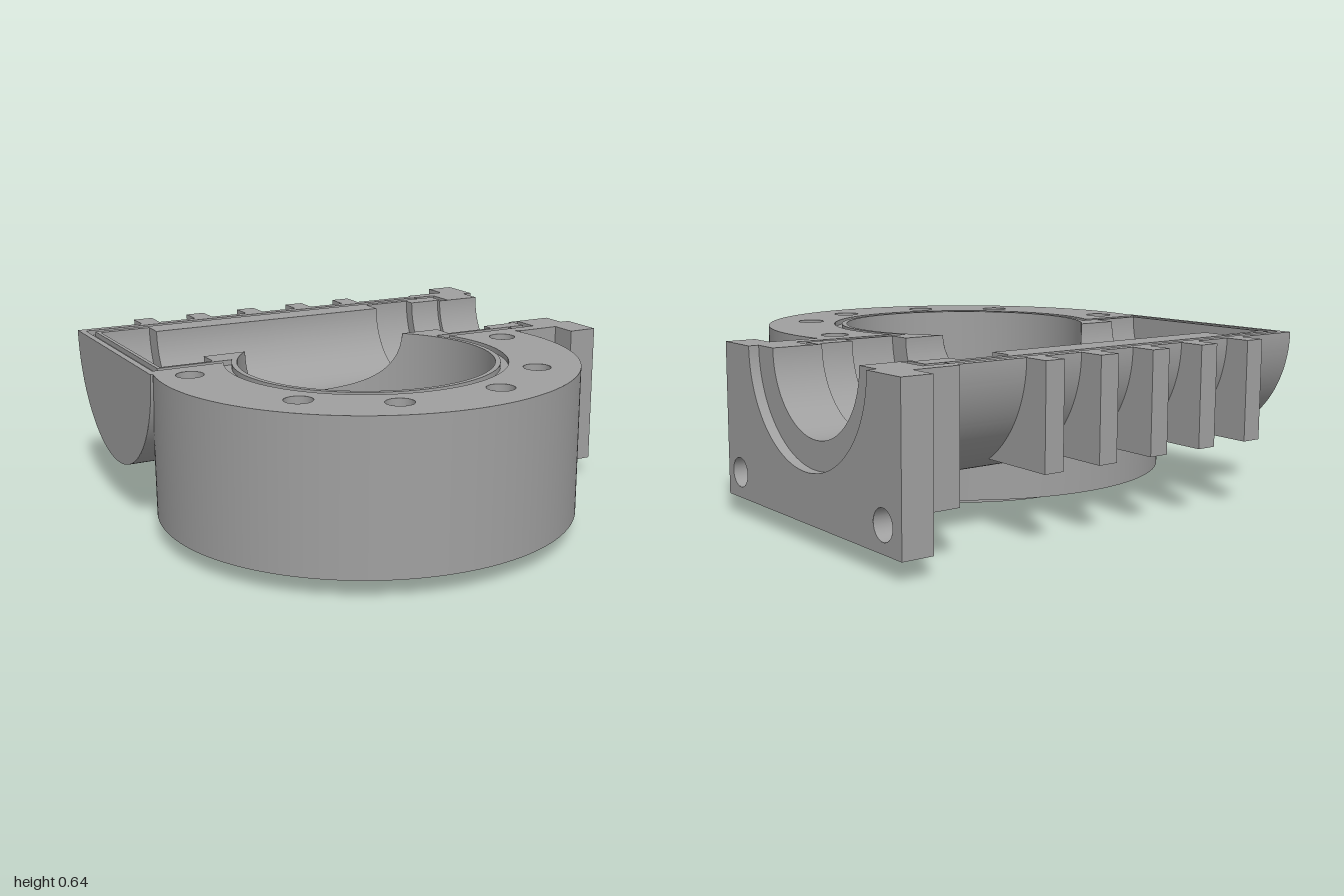
import * as THREE from 'three';
import { toCreasedNormals } from 'three/addons/utils/BufferGeometryUtils.js';

const TOP = 0.64, BASE = 0.07, FLOOR = 0.25; // split plane, underside, wheel chamber floor
const WZ = -0.42, WORM_R = 0.45;             // worm axis (along x, at the split plane)
const CX = -0.155, CZ = 0.185;               // wheel axis (vertical)
const WHEEL_R = 0.81, CAVITY_R = 0.49;

export function createModel() {
  const group = new THREE.Group();
  const castMetal = new THREE.MeshStandardMaterial({ color: 0xa0a0a0, side: THREE.DoubleSide });
  castMetal.name = 'cast metal';

  const V = (x, y, z) => new THREE.Vector3(x, y, z);
  const range = (n, f) => Array.from({ length: n + 1 }, (_, i) => f(i / n));
  const add = (name, geometry) => {
    const mesh = new THREE.Mesh(geometry, castMetal);
    mesh.name = name;
    group.add(mesh);
    return mesh;
  };

  // Ruled surface between two rows of points
  const strip = (name, a, b) => {
    const index = [];
    for (let i = 0; i < a.length - 1; i++) {
      const j = i + a.length;
      index.push(i, j, i + 1, i + 1, j, j + 1);
    }
    const geo = new THREE.BufferGeometry().setFromPoints([...a, ...b]);
    geo.setIndex(index);
    return add(name, toCreasedNormals(geo, 0.5));
  };

  const toShape = (pts, holes = []) => {
    const shape = new THREE.Shape(pts.map(([u, v]) => new THREE.Vector2(-u, v)));
    for (const [u, v, r] of holes) shape.holes.push(new THREE.Path().absarc(-u, v, r, 0, Math.PI * 2, true));
    return shape;
  };
  // Flat face across x, outlined by [z, y]
  const faceX = (name, x, pts, holes) => {
    const geo = new THREE.ShapeGeometry(toShape(pts, holes), 24);
    add(name, geo.rotateY(Math.PI / 2).translate(x, 0, 0));
  };
  // Flat face at height y, outlined by [x, z]
  const faceY = (name, y, pts, holes = []) => {
    const shape = new THREE.Shape(pts.map(([x, z]) => new THREE.Vector2(x, -z)));
    for (const [x, z, r] of holes) shape.holes.push(new THREE.Path().absarc(x, -z, r, 0, Math.PI * 2, true));
    add(name, new THREE.ShapeGeometry(shape, 24).rotateX(-Math.PI / 2).translate(0, y, 0));
  };
  // Lower half circle about the worm axis, as [z, y], from front to back
  const halfArc = (r, n = 64) => range(n, t => [WZ + r * Math.cos(Math.PI * t), TOP - r * Math.sin(Math.PI * t)]);
  // Arc about the wheel axis running around the front, between the two points at depth z
  const frontArc = (r, z) => {
    const a = Math.asin((z - CZ) / r);
    return range(96, t => {
      const p = a + (Math.PI - 2 * a) * t;
      return [CX + r * Math.cos(p), CZ + r * Math.sin(p)];
    });
  };
  const halfWidth = (r, z) => Math.sqrt(Math.max(0, r * r - (z - CZ) ** 2));
  const pipeY = (r, z) => TOP - Math.sqrt(Math.max(0, r * r - (z - WZ) ** 2));

  // Half pipe along x, cut away inside a vertical cylinder of radius cut
  const halfPipe = (name, r, x0, x1, cut = 0) => {
    const arc = halfArc(r, cut ? 160 : 64);
    const at = f => arc.map(([z, y]) => V(f(z), y, z));
    if (!cut) return strip(name, at(() => x0), at(() => x1));
    strip(name + 'Left', at(() => x0), at(z => CX - halfWidth(cut, z)));
    strip(name + 'Right', at(z => CX + halfWidth(cut, z)), at(() => x1));
  };

  // Vertical wall around the wheel axis with a top edge that follows the worm
  const wheelWall = (name, r, bottom, topAt) => {
    const ring = range(240, t => [CX + r * Math.cos(2 * Math.PI * t), CZ + r * Math.sin(2 * Math.PI * t)]);
    strip(name, ring.map(([x, z]) => V(x, bottom, z)), ring.map(([x, z]) => V(x, topAt(z), z)));
  };

  // Hole wall with optional closed end
  const holeWall = (name, r, length, pos, alongX) => {
    const wall = add(name, new THREE.CylinderGeometry(r, r, length, 24, 1, alongX));
    wall.position.copy(pos);
    if (alongX) wall.rotation.z = Math.PI / 2;
  };

  // Wheel housing
  wheelWall('wheelHousingWall', WHEEL_R, BASE, z => pipeY(WORM_R, z));
  wheelWall('wheelChamberWall', CAVITY_R, FLOOR, z => pipeY(0.265, z));
  const profile = [[CAVITY_R, FLOOR], [0.4, FLOOR], [0.4, 0.21], [0.42, 0.21], [0.42, 0], [0.555, 0], [0.555, BASE]];
  const hub = new THREE.LatheGeometry(profile.map(([x, y]) => new THREE.Vector2(x, y)), 96);
  add('outputBoreAndBoss', toCreasedNormals(hub, 0.5)).position.set(CX, 0, CZ);

  // Underside with four blind holes
  const circle = r => range(96, t => [CX + r * Math.cos(2 * Math.PI * t), CZ + r * Math.sin(2 * Math.PI * t)]).slice(0, -1);
  const lowHoles = [[1, 0], [0, 1], [-1, 0], [0, -1]].map(([x, z]) => [CX + 0.65 * x, CZ + 0.65 * z, 0.055]);
  faceY('underside', BASE, circle(WHEEL_R), [[CX, CZ, 0.555], ...lowHoles]);
  for (const [x, z, r] of lowHoles) holeWall('undersideHole', r, 0.12, V(x, BASE + 0.06, z), false);
  // the open end of each hole is left clear by removing its lower cap
  group.children.filter(m => m.name === 'undersideHole').forEach(m => {
    m.geometry = new THREE.CylinderGeometry(0.055, 0.055, 0.12, 24, 1, true);
    faceY('undersideHoleEnd', BASE + 0.12, range(24, t =>
      [m.position.x + 0.055 * Math.cos(6.2832 * t), m.position.z + 0.055 * Math.sin(6.2832 * t)]).slice(0, -1));
  });

  // Worm housing shell and closed end
  halfPipe('wormHousing', WORM_R, -0.96, 0.66, WHEEL_R);
  faceX('wormHousingEnd', -0.96, halfArc(WORM_R));

  // Stepped worm bore: start x, end x, radius
  const steps = [[-0.89, -0.68, 0.355], [-0.68, 0.37, 0.265], [0.37, 0.58, 0.355],
    [0.58, 0.72, 0.305], [0.72, 0.92, 0.285], [0.92, 0.96, 0.39]];
  steps.forEach(([x0, x1, r], i) => {
    halfPipe('wormBore', r, x0, x1, i === 1 ? CAVITY_R : 0);
    if (i === 0) faceX('wormBoreEnd', x0, halfArc(r));
    else faceX('wormBoreShoulder', x0, [...halfArc(r), ...halfArc(steps[i - 1][2]).reverse()]);
  });

  // Square neck and mounting flange
  const blockOutline = (z0, z1, y) => [[z0, TOP], [z0, y], [z1, y], [z1, TOP]];
  const skirt = (name, outline, x0, x1) =>
    strip(name, outline.map(([z, y]) => V(x0, y, z)), outline.map(([z, y]) => V(x1, y, z)));
  const neck = blockOutline(-0.89, 0.04, 0.175), flange = blockOutline(-1, 0.15, BASE);
  const boltHoles = [[0.06, 0.165, 0.055], [-0.895, 0.165, 0.055]];
  skirt('neckSides', neck, 0.66, 0.84);
  faceX('neckInnerFace', 0.66, [...neck, ...halfArc(0.305)]);
  skirt('flangeSides', flange, 0.84, 0.96);
  faceX('flangeBack', 0.84, [...flange, ...halfArc(0.285)], boltHoles);
  faceX('flangeFront', 0.96, [...flange, ...halfArc(0.39)], boltHoles);
  for (const [z, y, r] of boltHoles) holeWall('flangeBoltHole', r, 0.12, V(0.9, y, z), true);

  // Cooling ribs
  const ribArc = halfArc(0.44).filter(([z, y]) => z < WZ && y > 0.26);
  const ribShape = toShape([[-0.97, TOP], [-0.97, 0.26], ...ribArc]);
  for (let i = 0; i < 5; i++) {
    const rib = new THREE.ExtrudeGeometry(ribShape, { depth: 0.08, bevelEnabled: false });
    add('coolingRib', rib.rotateY(Math.PI / 2)).position.x = -0.68 + i * 0.2425;
  }

  // Split face: outer land, seal groove and inner land
  const grooveOuter = [[0.765, -0.705], [0.765, -0.835], [-0.935, -0.835], [-0.935, -0.02],
    ...frontArc(0.54, -0.02).reverse(), [0.765, -0.02], [0.765, -0.135]];
  const grooveInner = [[0.735, -0.705], [0.735, -0.805], [-0.905, -0.805], [-0.905, -0.05],
    ...frontArc(0.51, -0.05).reverse(), [0.735, -0.05], [0.735, -0.135]];
  const outerEdge = [[0.92, -0.135], [0.92, -0.03], [0.96, -0.03], [0.96, 0.15], [0.84, 0.15], [0.84, 0.04],
    [0.66, 0.04], [0.66, 0.03], ...frontArc(WHEEL_R, 0.03), [-0.96, 0.03], [-0.96, -0.87], [0.66, -0.87],
    [0.66, -0.89], [0.84, -0.89], [0.84, -1], [0.96, -1], [0.96, -0.81], [0.92, -0.81], [0.92, -0.705]];
  const side = s => steps.slice(0, 5).flatMap(([x0, x1, r]) => [[x0, WZ + s * r], [Math.min(x1, 0.735), WZ + s * r]]);
  const front = side(1).reverse(), back = side(-1);
  const cavityEdge = [...front.slice(1, 7), ...frontArc(CAVITY_R, -0.155), ...front.slice(7), ...back.slice(0, -1)];
  const topHoles = [[-0.835, 0.1], [0.525, 0.1], [-0.645, 0.61], [0.335, 0.61], [-0.36, 0.8], [0.045, 0.8]]
    .map(([x, z]) => [x, z, 0.052]);
  faceY('outerLand', TOP, [...grooveOuter, ...outerEdge], topHoles);
  faceY('innerLand', TOP, [...grooveInner, ...cavityEdge]);
  faceY('sealGrooveFloor', TOP - 0.02, [...grooveOuter, ...[...grooveInner].reverse()]);
  for (const loop of [grooveOuter, grooveInner])
    strip('sealGrooveWall', loop.map(([x, z]) => V(x, TOP - 0.02, z)), loop.map(([x, z]) => V(x, TOP, z)));

  // Blind bolt holes in the split face
  for (const [x, z, r] of topHoles) {
    add('coverBoltHole', new THREE.CylinderGeometry(r, r, 0.2, 24, 1, true)).position.set(x, TOP - 0.1, z);
    add('coverBoltHoleEnd', new THREE.CircleGeometry(r, 24).rotateX(-Math.PI / 2)).position.set(x, TOP - 0.2, z);
  }
  return group;
}
